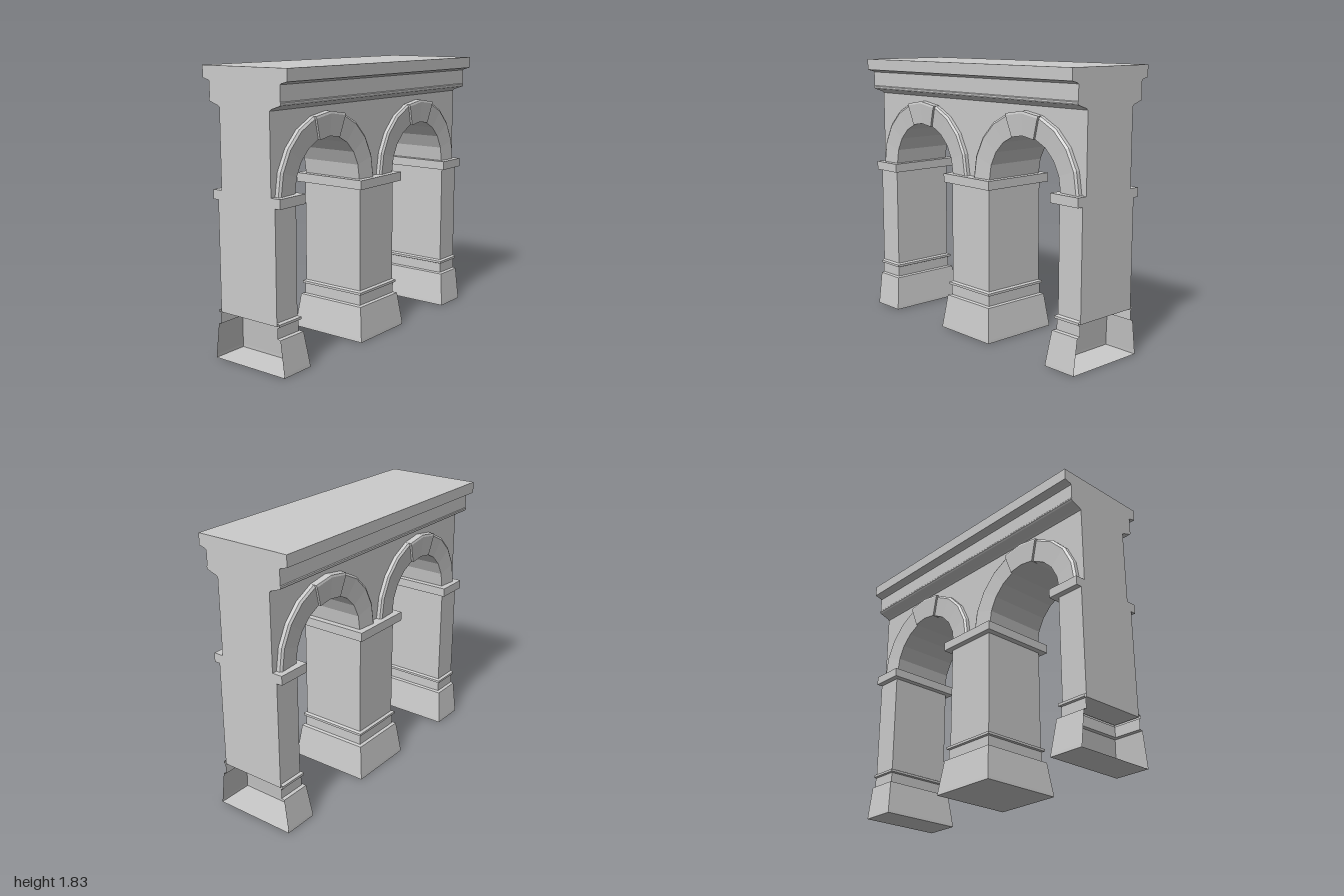
import * as THREE from 'three';

const SPRING = 1.08, R_IN = 0.315, R_OUT = 0.465, SEG = 10;
const WALL_Z = 0.2, PIER_Z = 0.23, PIER_X = 0.185;
const mat = new THREE.MeshStandardMaterial({ color: 0xcccccc, flatShading: true });
const thin = new THREE.MeshStandardMaterial({ color: 0xcccccc, flatShading: true, side: THREE.DoubleSide });

function add(parent, name, geo, material = mat) {
  const mesh = new THREE.Mesh(geo, material);
  mesh.name = name;
  parent.add(mesh);
  return mesh;
}

function block(parent, name, x0, x1, y0, y1, halfZ) {
  const geo = new THREE.BoxGeometry(x1 - x0, y1 - y0, halfZ * 2);
  return add(parent, name, geo.translate((x0 + x1) / 2, (y0 + y1) / 2, 0));
}

// Joins rows of points with quads; rows and points run in order
function skin(rows, closeRows = false) {
  const pos = [], idx = [], n = rows[0].length;
  rows.forEach(row => row.forEach(p => pos.push(...p)));
  const last = closeRows ? rows.length : rows.length - 1;
  for (let i = 0; i < last; i++) {
    const k = (i + 1) % rows.length;
    for (let j = 0; j < n - 1; j++) {
      const a = i * n + j, b = a + 1, c = k * n + j, d = c + 1;
      idx.push(a, b, d, a, d, c);
    }
  }
  const geo = new THREE.BufferGeometry();
  geo.setAttribute('position', new THREE.Float32BufferAttribute(pos, 3));
  geo.setIndex(idx);
  const flat = geo.toNonIndexed();
  flat.computeVertexNormals();
  return flat;
}

// Base profile: [height, projection beyond the shaft]
const BASE = [[0, 0.055], [0.02, 0.053], [0.23, 0.026], [0.235, 0.005], [0.303, 0.005],
  [0.308, 0.018], [0.324, 0.018], [0.332, 0]];

// Pier: side 0 is the middle one, +1 / -1 the half piers, whose outer end is open at the base
function makePier(side) {
  const pier = new THREE.Group();
  pier.name = side === 0 ? 'middlePier' : side > 0 ? 'leftPier' : 'rightPier';
  const span = o => side === 0 ? [-PIER_X - o, PIER_X + o]
    : side > 0 ? [1 - PIER_X - o, 1] : [-1, -1 + PIER_X + o];

  const rows = BASE.map(([y, o]) => {
    const [x0, x1] = span(o), z = PIER_Z + o;
    if (side > 0) return [[x1, y, -z], [x0, y, -z], [x0, y, z], [x1, y, z]];
    const open = [[x0, y, z], [x1, y, z], [x1, y, -z], [x0, y, -z]];
    return side === 0 ? [...open, open[0]] : open;
  });
  add(pier, 'mouldedBase', skin(rows), thin);

  const [f0, f1] = span(BASE[0][1]);
  const floor = new THREE.PlaneGeometry(f1 - f0, (PIER_Z + BASE[0][1]) * 2).rotateX(Math.PI / 2);
  add(pier, 'baseUnderside', floor.translate((f0 + f1) / 2, 0, 0), thin);

  block(pier, 'shaft', ...span(0), 0.31, 1.02, PIER_Z);
  block(pier, 'impost', ...span(0.041), 1.02, SPRING, 0.27);
  return pier;
}

// Wall with two faceted arch openings
function wallGeometry() {
  const s = new THREE.Shape();
  s.moveTo(1, SPRING);
  s.lineTo(1, 1.6);
  s.lineTo(-1, 1.6);
  s.lineTo(-1, SPRING);
  for (const cx of [-0.5, 0.5]) {
    for (let i = 0; i <= SEG; i++) {
      const a = Math.PI * (1 - i / SEG);
      s.lineTo(cx + R_IN * Math.cos(a), SPRING + R_IN * Math.sin(a));
    }
  }
  s.closePath();
  return new THREE.ExtrudeGeometry(s, { depth: WALL_Z * 2, bevelEnabled: false }).translate(0, 0, -WALL_Z);
}

// Sweeps a [radius, z] section around the arch from step i0 to step i1
function archBand(section, i0, i1) {
  const rows = [];
  for (let i = i0; i <= i1; i++) {
    const a = Math.PI * i / SEG;
    rows.push(section.map(([r, z]) => [r * Math.cos(a), SPRING + r * Math.sin(a), z]));
  }
  return skin(rows.map(r => r.reverse()));
}

const BAND = [[R_IN, 0.19], [R_IN, 0.224], [0.45, 0.235], [R_OUT, 0.225], [R_OUT, 0.19]];
const KEY = [[R_IN - 0.002, 0.19], [R_IN - 0.002, 0.238], [0.452, 0.249], [R_OUT + 0.001, 0.245], [R_OUT + 0.001, 0.19]];

// Ring of voussoirs with a raised keystone on one face
function makeArch(cx, back) {
  const arch = new THREE.Group();
  arch.name = 'archSurround';
  add(arch, 'archivolt', archBand(BAND, 0, SEG), thin);
  add(arch, 'keystone', archBand(KEY, 4, 6), thin);
  // Sides of the keystone
  for (const i of [4, 6]) {
    const a = Math.PI * i / SEG;
    const at = ([r, z]) => [r * Math.cos(a), SPRING + r * Math.sin(a), z];
    add(arch, 'keystoneSide', skin([[at(KEY[0]), at(KEY[1]), at(KEY[2]), at(KEY[3])],
      [at(KEY[0]), at([KEY[1][0], 0.19]), at([KEY[2][0], 0.19]), at(KEY[4])]]), thin);
  }
  arch.position.x = cx;
  if (back) arch.rotation.y = Math.PI;
  return arch;
}

// Cornice half-profile [z, y], mirrored and run along the wall
function corniceGeometry() {
  const half = [[0.2, 1.58], [0.212, 1.59], [0.278, 1.612], [0.285, 1.622], [0.285, 1.63], [0.281, 1.635],
    [0.281, 1.732], [0.29, 1.738], [0.335, 1.75], [0.335, 1.825]];
  const pts = [...half, ...half.map(([z, y]) => [-z, y]).reverse()];
  const shape = new THREE.Shape(pts.map(([z, y]) => new THREE.Vector2(z, y)));
  return new THREE.ExtrudeGeometry(shape, { depth: 2, bevelEnabled: false })
    .translate(0, 0, -1).rotateY(Math.PI / 2);
}

export function createModel() {
  const model = new THREE.Group();
  model.name = 'doubleArcade';
  for (const side of [-1, 0, 1]) model.add(makePier(side));
  add(model, 'archWall', wallGeometry());
  for (const cx of [-0.5, 0.5]) for (const back of [false, true]) model.add(makeArch(cx, back));
  add(model, 'cornice', corniceGeometry());
  return model;
}
